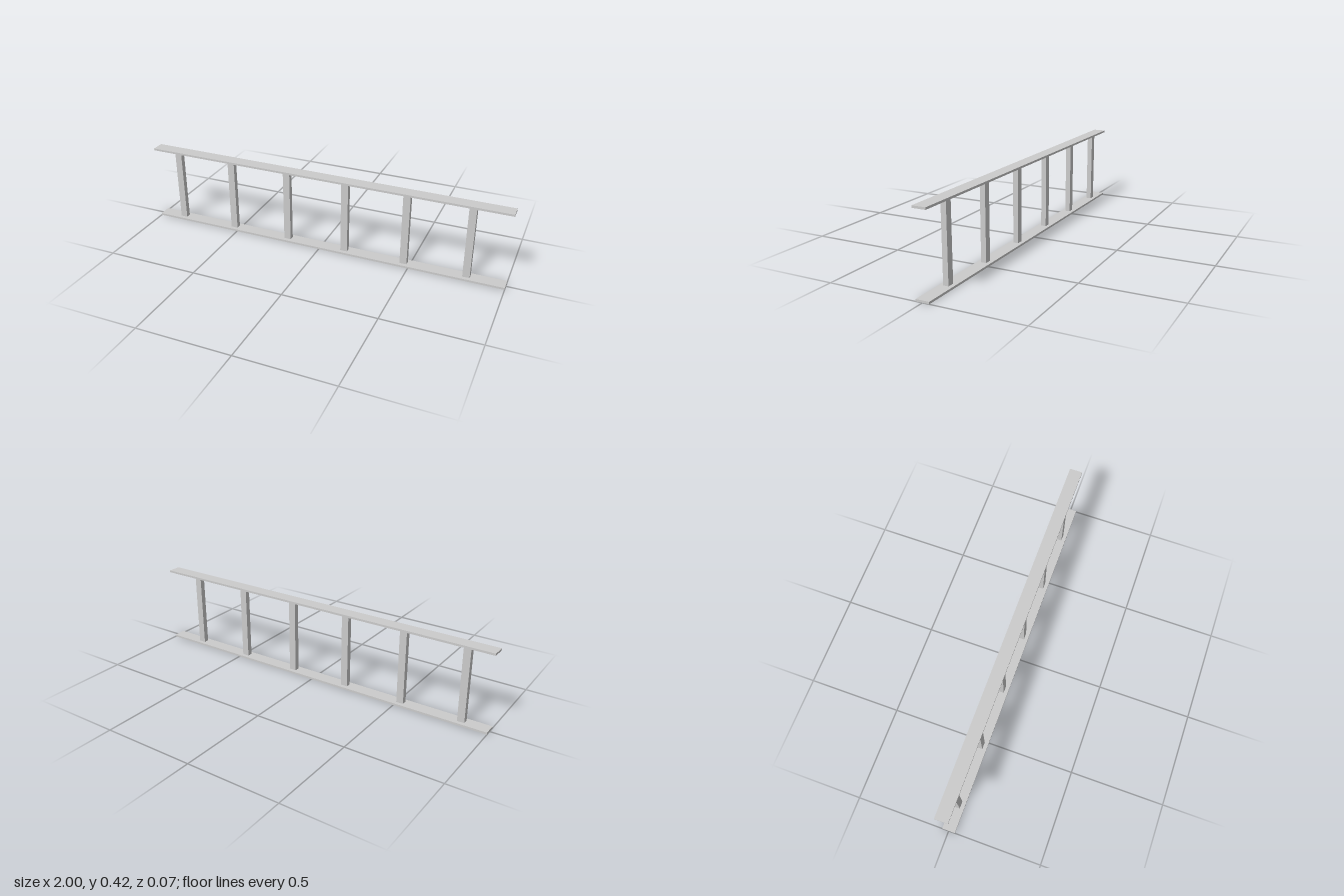
import * as THREE from 'three';

export function createModel() {
  const model = new THREE.Group();
  const material = new THREE.MeshStandardMaterial({ color: 0xcccccc, flatShading: true });

  const height = 0.423, railThickness = 0.011, railDepth = 0.069;
  const rungWidth = 0.038, rungDepth = 0.028;

  function addBox(name, w, h, d, x, y) {
    const mesh = new THREE.Mesh(new THREE.BoxGeometry(w, h, d), material);
    mesh.name = name;
    mesh.position.set(x, y, 0);
    model.add(mesh);
  }

  // Two long flat rails
  addBox('bottomRail', 2, railThickness, railDepth, 0, railThickness / 2);
  addBox('topRail', 2, railThickness, railDepth, 0, height - railThickness / 2);

  // Six evenly spaced posts, set slightly towards the right end
  const rungHeight = height - 2 * railThickness;
  for (let i = 0; i < 6; i++) {
    addBox(`rung${i + 1}`, rungWidth, rungHeight, rungDepth, -0.857 + i * 0.3315, height / 2);
  }

  return model;
}
